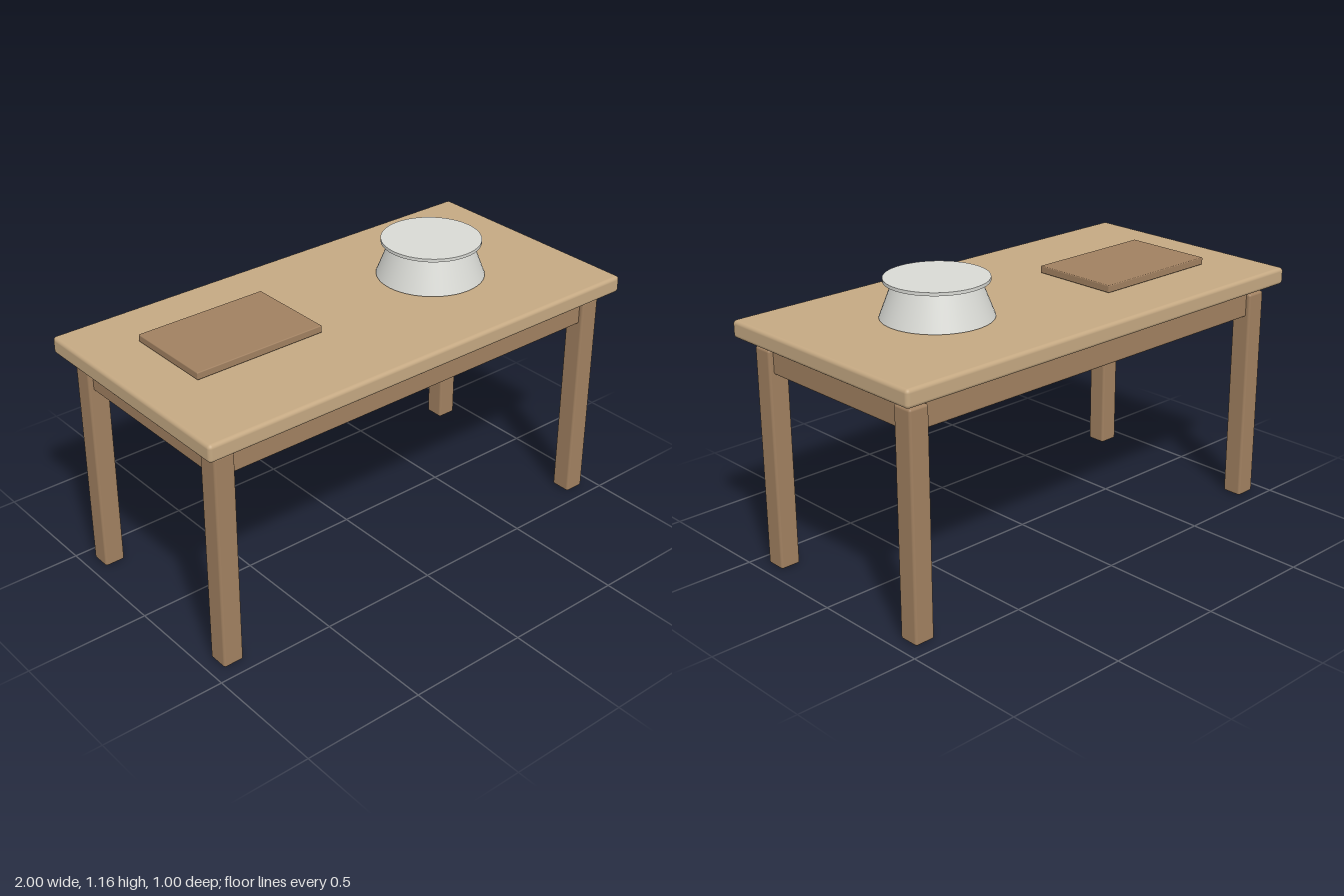
import * as THREE from 'three';
import { RoundedBoxGeometry } from 'three/addons/geometries/RoundedBoxGeometry.js';

const mat = (name, color) => {
  const m = new THREE.MeshStandardMaterial({ color });
  m.name = name;
  return m;
};

export function createModel() {
  const group = new THREE.Group();
  const lightWood = mat('light wood', 0xc4a882);
  const darkWood = mat('dark wood', 0xa08060);
  const enamel = mat('pale grey', 0xd8d9d4);

  const add = (name, geometry, material, x, y, z) => {
    const mesh = new THREE.Mesh(geometry, material);
    mesh.name = name;
    mesh.position.set(x, y, z);
    group.add(mesh);
    return mesh;
  };
  const box = (w, h, d, r) => new RoundedBoxGeometry(w, h, d, 3, r);

  // Table: slab, solid apron block and four legs
  add('tableTop', box(2, 0.07, 1, 0.015), lightWood, 0, 0.965, 0);
  add('apron', box(1.85, 0.13, 0.85, 0.01), darkWood, 0, 0.867, 0);
  const leg = box(0.086, 0.9, 0.086, 0.01);
  for (const x of [-1, 1])
    for (const z of [-1, 1])
      add((z > 0 ? 'front' : 'back') + (x > 0 ? 'Left' : 'Right') + 'Leg', leg, darkWood, x * 0.902, 0.45, z * 0.401);

  // Flat board lying on the table
  add('board', box(0.56, 0.03, 0.375, 0.004), darkWood, -0.5, 1.02, -0.065);

  // Tapered pot with a wide flat lid
  add('pot', new THREE.CylinderGeometry(0.163, 0.217, 0.14, 48), enamel, 0.434, 1.075, 0);
  add('potLid', new THREE.CylinderGeometry(0.2, 0.2, 0.013, 48), enamel, 0.434, 1.15, 0);

  return group;
}
